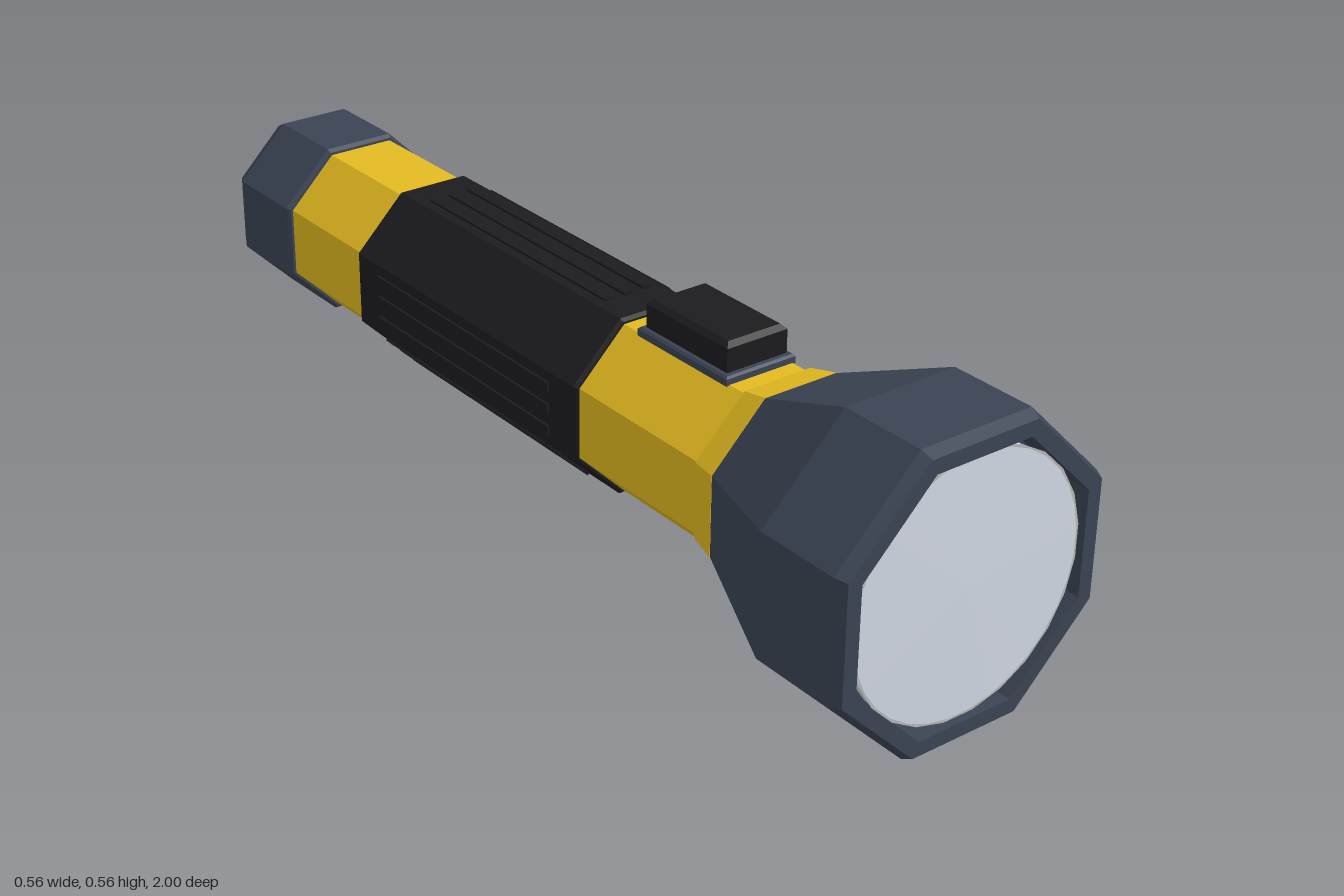
import * as THREE from 'three';

const AXIS_Y = 0.278;
const mat = (color, extra = {}) =>
  new THREE.MeshStandardMaterial({ color, flatShading: true, ...extra });
const slate = mat(0x3b4454);
const yellow = mat(0xe3ba1f);
const black = mat(0x1c1c1f);
const silver = mat(0xb8b8b8, { side: THREE.DoubleSide });
const glass = mat(0xd3dae6);

function add(parent, name, geometry, material) {
  const mesh = new THREE.Mesh(geometry, material);
  mesh.name = name;
  parent.add(mesh);
  return mesh;
}

// Solid turned along z from [distance, z] pairs; an eight-sided one has its flats facing up
function turned(profile, sides = 8) {
  const k = sides === 8 ? 1 / Math.cos(Math.PI / 8) : 1;
  const points = profile.map(([r, z]) => new THREE.Vector2(r * k, z));
  const g = new THREE.LatheGeometry(points, sides, Math.PI / sides).rotateX(Math.PI / 2).toNonIndexed();
  g.computeVertexNormals();
  return g;
}

// Bevelled block standing on y = 0, w along x and d along z
function bevelledBlock(w, h, d, bevel) {
  const a = w / 2 - bevel, b = d / 2 - bevel;
  const shape = new THREE.Shape([[-a, -b], [a, -b], [a, b], [-a, b]].map(([x, y]) => new THREE.Vector2(x, y)));
  return new THREE.ExtrudeGeometry(shape, {
    depth: h - 2 * bevel, bevelEnabled: true, bevelSize: bevel, bevelThickness: bevel, bevelSegments: 1,
  }).translate(0, 0, bevel).rotateX(-Math.PI / 2);
}

export function createModel() {
  const model = new THREE.Group();
  model.name = 'flashlight';
  const torch = new THREE.Group();
  torch.name = 'torchAssembly';
  torch.position.y = AXIS_Y;
  model.add(torch);

  // Barrel and collar
  add(torch, 'barrel', turned([[0, -0.8], [0.165, -0.8], [0.165, 0.54], [0, 0.54]]), yellow);
  add(torch, 'collar', turned([[0.16, 0.52], [0.172, 0.52], [0.185, 0.578], [0.16, 0.578]]), yellow);

  // Flared head with a recessed opening
  add(torch, 'head', turned([
    [0, 0.575], [0.183, 0.575], [0.278, 0.81], [0.278, 0.978],
    [0.268, 1], [0.24, 1], [0.24, 0.93], [0, 0.93],
  ]), slate);

  // Reflector rim and lens
  add(torch, 'reflector', turned([[0.2, 0.935], [0.242, 0.985], [0.236, 0.985]], 24), silver);
  add(torch, 'lens', turned([[0, 0.96], [0.237, 0.96], [0.237, 0.985], [0, 0.988]], 32), glass);

  // Rubber grip with three ribs on each flat
  add(torch, 'grip', turned([
    [0.16, -0.525], [0.169, -0.525], [0.174, -0.518],
    [0.174, 0.183], [0.169, 0.19], [0.16, 0.19],
  ]), black);
  const ribs = new THREE.Group();
  ribs.name = 'gripRibs';
  torch.add(ribs);
  for (let face = 0; face < 8; face++) {
    const side = new THREE.Group();
    side.name = 'ribbedFace';
    side.rotation.z = face * Math.PI / 4;
    ribs.add(side);
    for (const x of [-0.043, 0, 0.043]) {
      add(side, 'rib', new THREE.BoxGeometry(0.018, 0.012, 0.56), black).position.set(x, 0.173, -0.168);
    }
  }

  // Tail cap with a dark end pad
  add(torch, 'tailCap', turned([
    [0, -1], [0.16, -1], [0.176, -0.968], [0.176, -0.792], [0.17, -0.784], [0, -0.784],
  ]), slate);
  add(torch, 'tailPad', turned([[0, -1.001], [0.1, -1.001], [0.1, -0.98]], 16), black);

  // Sliding switch on top
  add(torch, 'switchBase', bevelledBlock(0.15, 0.02, 0.242, 0.004), slate).position.set(0, 0.16, 0.357);
  add(torch, 'switchButton', bevelledBlock(0.13, 0.062, 0.218, 0.009), black).position.set(0, 0.172, 0.357);

  return model;
}
